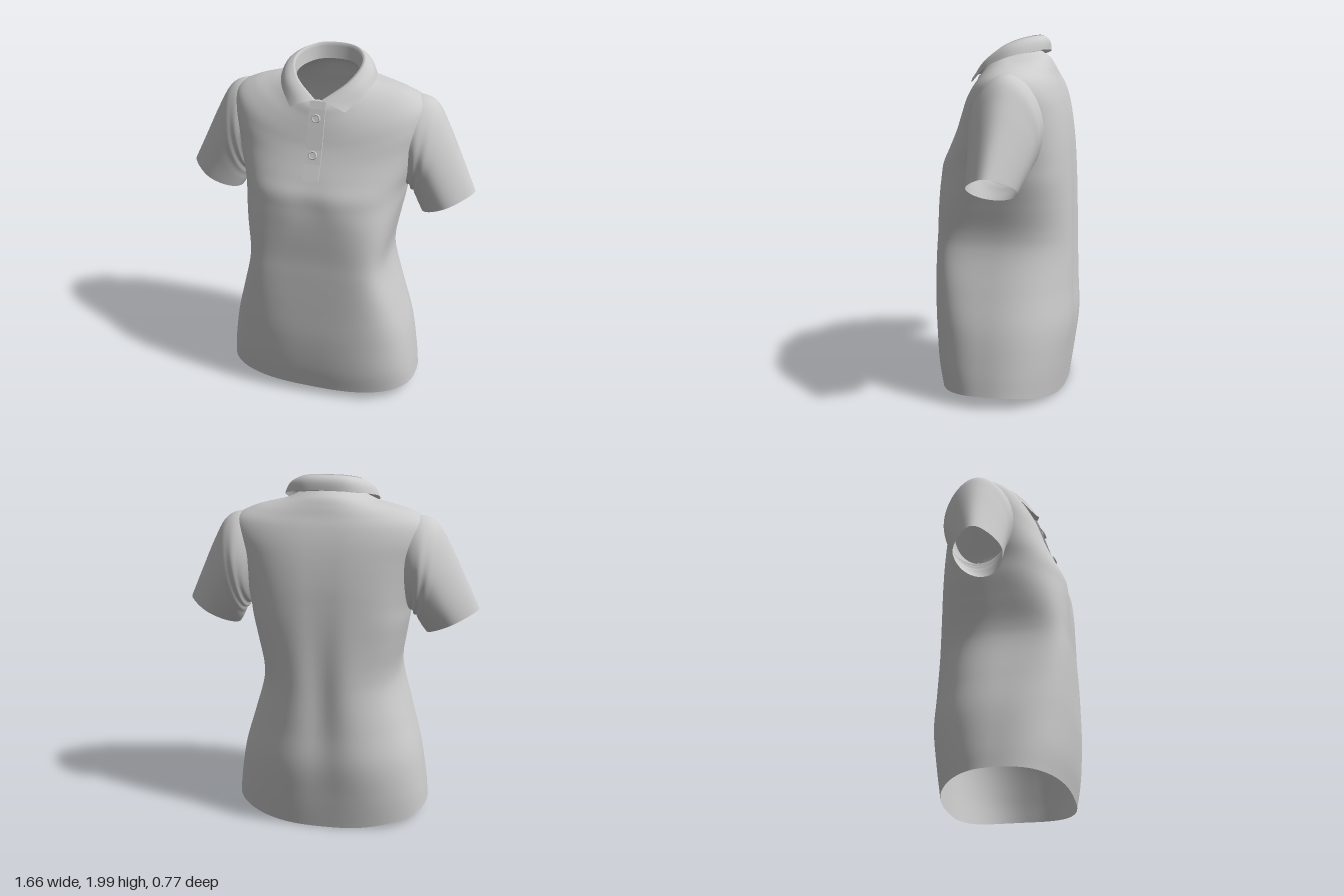
import * as THREE from 'three';

const cloth = new THREE.MeshStandardMaterial({ color: 0xcccccc, side: THREE.DoubleSide });

// Surface from a rule fn(u, v); u runs around (optionally closed), v along the part.
function surface(nu, nv, closed, fn) {
  const pos = [], idx = [], cols = closed ? nu : nu + 1;
  for (let j = 0; j <= nv; j++)
    for (let i = 0; i < cols; i++) pos.push(...fn(i / nu, j / nv));
  for (let j = 0; j < nv; j++)
    for (let i = 0; i < nu; i++) {
      const k = (i + 1) % cols, a = j * cols + i, b = j * cols + k;
      const c = a + cols, d = b + cols;
      idx.push(a, c, b, b, c, d);
    }
  const geo = new THREE.BufferGeometry();
  geo.setAttribute('position', new THREE.Float32BufferAttribute(pos, 3));
  geo.setIndex(idx);
  geo.computeVertexNormals();
  return geo;
}

// Smooth interpolation through rows of section values, t in 0..1.
function sections(rows) {
  const n = rows.length;
  const lerp = new THREE.CubicInterpolant(
    Float32Array.from(rows, (_, i) => i), Float32Array.from(rows.flat()), rows[0].length);
  return t => Array.from(lerp.evaluate(Math.min(t * (n - 1), n - 1.0001)));
}

function part(name, geo) {
  const mesh = new THREE.Mesh(geo, cloth);
  mesh.name = name;
  return mesh;
}

const bump = (x, c, w) => Math.exp(-(((x - c) / w) ** 2));

// Torso section: half width, side y, side z
const torsoSides = sections([
  [.57, .07, .03], [.555, .2, .03], [.52, .4, .03], [.46, .6, .03],
  [.40, .8, .03], [.39, .92, .02], [.415, 1.07, .01], [.44, 1.2, -.01],
  [.455, 1.3, -.02], [.485, 1.4, -.03], [.52, 1.53, -.05], [.55, 1.66, -.07],
  [.53, 1.75, -.07], [.44, 1.803, -.06], [.34, 1.832, -.05], [.25, 1.852, -.03],
  [.178, 1.885, -.02],
]);
// Front and back of each torso section: y, z, squareness
const torsoFront = sections([
  [.05, .35, 2.7], [.2, .375, 2.8], [.4, .388, 3], [.6, .384, 3.9],
  [.8, .376, 5.2], [.92, .37, 5.2], [1.07, .37, 4], [1.2, .37, 3],
  [1.29, .36, 2.7], [1.37, .322, 2.55], [1.46, .278, 2.4], [1.53, .248, 2.3],
  [1.59, .229, 2.2], [1.64, .214, 2.1], [1.69, .198, 2], [1.735, .183, 2],
  [1.768, .158, 2],
]);
const torsoBack = sections([
  [.003, -.335, 2.4], [.2, -.365, 2.4], [.4, -.39, 2.4], [.6, -.386, 2.4],
  [.8, -.382, 2.5], [.92, -.38, 2.6], [1.07, -.377, 2.7], [1.2, -.373, 2.7],
  [1.31, -.367, 2.65], [1.42, -.358, 2.5], [1.54, -.34, 2.4], [1.64, -.318, 2.3],
  [1.72, -.293, 2.2], [1.78, -.268, 2.1], [1.83, -.248, 2], [1.875, -.222, 2],
  [1.907, -.178, 2],
]);

function torsoPoint(u, v) {
  const a = u * Math.PI * 2, c = Math.cos(a), s = Math.sin(a);
  const [w, ys, zs] = torsoSides(v);
  const [ye, ze, n] = (s > 0 ? torsoFront : torsoBack)(v);
  const x = w * Math.sign(c) * Math.abs(c) ** (2 / n);
  const k = Math.abs(s) ** (2 / n);
  const y = ys + (ye - ys) * s * s;
  let z = zs + (ze - zs) * k;
  if (s < 0) {
    // Spine hollow and soft drape at the back
    const low = bump(y, .9, .6);
    z += low * (.025 * bump(x, 0, .1) + .006 * Math.sin(Math.abs(x) * 14 + y * 4) * k);
  } else {
    // Slight hollow between the bust
    z -= .012 * bump(x, 0, .1) * bump(y, 1.24, .12);
  }
  return [x, y, z];
}

// Sleeve sections: top x, top y, bottom x, bottom y, centre z, half depth
const sleeveAt = sections([
  [.33, 1.71, .36, 1.39, -.07, .1],
  [.42, 1.765, .41, 1.315, -.075, .155],
  [.51, 1.776, .45, 1.265, -.08, .19],
  [.59, 1.735, .475, 1.24, -.08, .192],
  [.66, 1.62, .495, 1.21, -.073, .177],
  [.745, 1.445, .515, 1.17, -.06, .155],
  [.828, 1.27, .54, 1.13, -.043, .132],
]);

function sleevePoint(side) {
  return (u, v) => {
    const [tx, ty, bx, by, zc, hz] = sleeveAt(v);
    const a = -side * u * Math.PI * 2, c = Math.cos(a), s = Math.sin(a);
    // Gathers where the sleeve meets the body, under the arm
    const r = 1 + .03 * bump(v, .48, .16) * (1 - c) / 2 * Math.sin(v * 34 + c * 3);
    const x = (tx + bx) / 2 + c * r * (tx - bx) / 2;
    const y = (ty + by) / 2 + c * r * (ty - by) / 2;
    // Upper edge narrows towards the cuff
    const pinch = 1 - .35 * v * Math.max(c, 0) ** 1.5;
    return [side * x, y, zc + s * r * hz * pinch];
  };
}

// Half curve from centre back to front, mirrored into a full collar line
function collarLine(half) {
  const pts = half.map(p => new THREE.Vector3(...p));
  const left = pts.slice(1).reverse().map(p => new THREE.Vector3(-p.x, p.y, p.z));
  return new THREE.CatmullRomCurve3([...left, ...pts]);
}

function collarGeometry() {
  const stand = collarLine([[0, 1.905, -.168], [.1, 1.9, -.145], [.165, 1.88, -.065],
    [.175, 1.855, .01], [.12, 1.795, .1], [.012, 1.757, .155]]);
  const fold = collarLine([[0, 1.995, -.178], [.1, 1.99, -.157], [.168, 1.968, -.08],
    [.183, 1.932, .005], [.135, 1.865, .1], [.018, 1.78, .175]]);
  const blade = collarLine([[0, 1.915, -.222], [.13, 1.91, -.203], [.225, 1.89, -.125],
    [.262, 1.868, -.035], [.238, 1.82, .085], [.152, 1.733, .195]]);
  return surface(72, 12, false, (u, v) => {
    const f = fold.getPoint(u);
    if (v <= 1 / 3) return stand.getPoint(u).lerp(f, v * 3).toArray();
    // The fall rolls over the fold before dropping to its edge
    const t = (v - 1 / 3) * 1.5, p = f.clone().lerp(blade.getPoint(u), t);
    const ends = Math.abs(2 * u - 1) ** 6;
    const roll = .014 * Math.sin(Math.PI * t) * (1 - ends);
    const out = new THREE.Vector3(f.x, 0, f.z + .02).normalize();
    // Front corners lie just clear of the chest
    const lift = .014 * Math.sin(Math.PI * t) * ends;
    return [p.x + out.x * roll, p.y + roll + lift * .6, p.z + out.z * roll + lift];
  });
}

// Front strip that follows the chest slope
function placketGeometry() {
  const line = [[.166, 1.775], [.184, 1.735], [.199, 1.69], [.215, 1.64],
    [.249, 1.53], [.278, 1.46], [.318, 1.38]];
  const shape = new THREE.Shape([
    ...line.map(([z, y]) => new THREE.Vector2(z + .01, y)),
    ...line.map(([z, y]) => new THREE.Vector2(z - .012, y)).reverse(),
  ]);
  return new THREE.ExtrudeGeometry(shape, { depth: .088, bevelEnabled: false })
    .rotateY(-Math.PI / 2).translate(.044, 0, 0);
}

function button(y, z, tilt) {
  const group = new THREE.Group();
  group.name = 'button';
  const disc = part('buttonDisc', new THREE.CylinderGeometry(.021, .024, .014, 24).rotateX(Math.PI / 2));
  const rim = part('buttonRim', new THREE.TorusGeometry(.019, .005, 8, 24).translate(0, 0, .007));
  group.add(disc, rim);
  group.position.set(0, y, z);
  group.rotation.x = -tilt;
  return group;
}

export function createModel() {
  const model = new THREE.Group();
  model.name = 'poloShirt';
  model.add(part('torso', surface(128, 110, true, torsoPoint)));
  for (const [name, side] of [['leftSleeve', 1], ['rightSleeve', -1]])
    model.add(part(name, surface(64, 60, true, sleevePoint(side))));
  model.add(part('collar', collarGeometry()));
  model.add(part('placket', placketGeometry()));
  model.add(button(1.69, .212, .35), button(1.505, .272, .4));
  return model;
}
